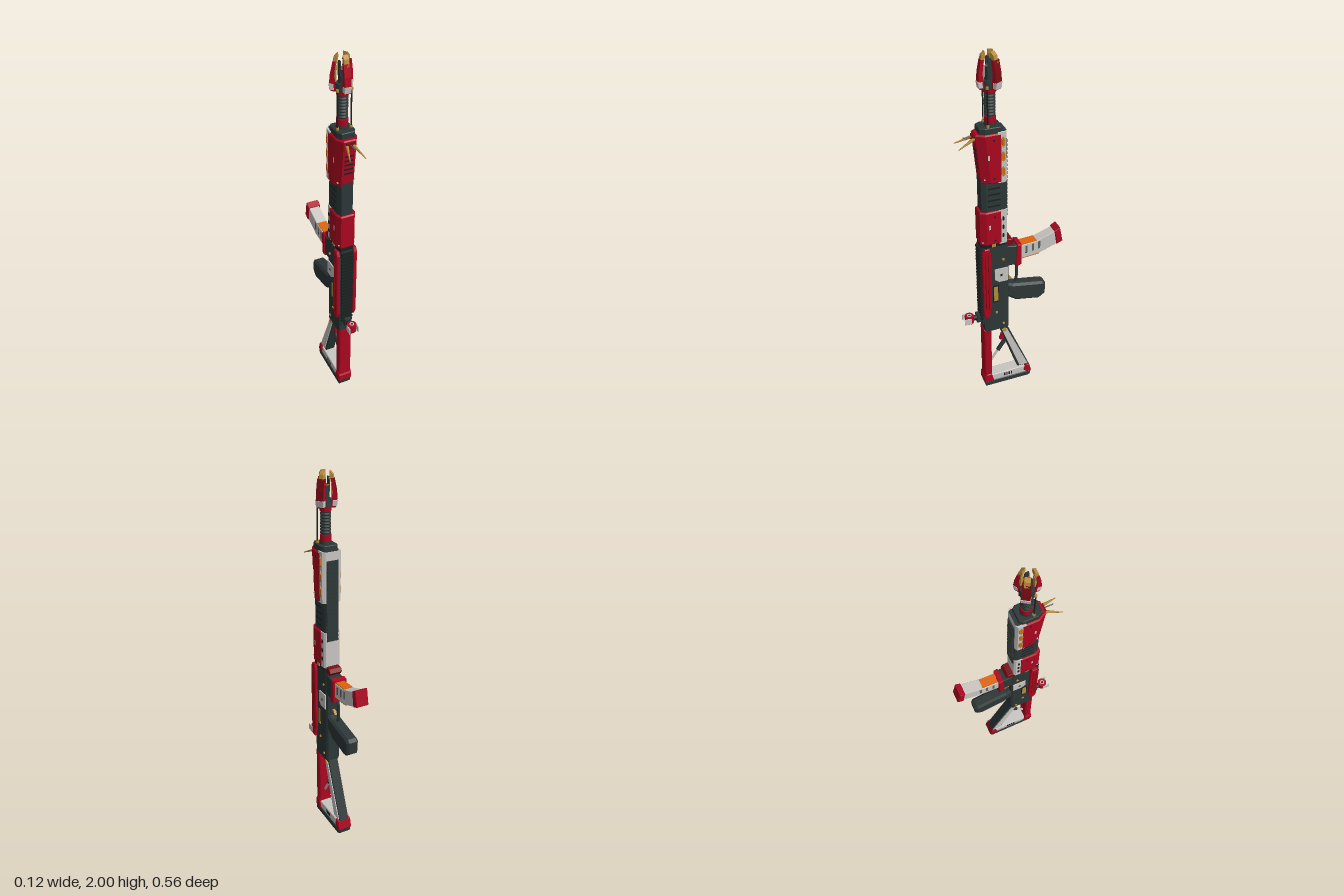
import * as THREE from 'three';

const mat = (name, color) => Object.assign(new THREE.MeshStandardMaterial({ color }), { name });
const red = mat('red', 0xac0620), darkRed = mat('dark red', 0x7a0c14), dark = mat('gunmetal', 0x2d3737),
  black = mat('black', 0x1a2020), white = mat('pale grey', 0xc9c6c2), gold = mat('gold', 0xb98d3c),
  orange = mat('orange', 0xe0640c), steel = mat('steel', 0x5c6262);
const BZ = 0.105; // barrel axis

export function createModel() {
  const root = new THREE.Group();
  root.name = 'rifle';
  const add = (name, geo, m, parent = root) => {
    const mesh = new THREE.Mesh(geo, m);
    mesh.name = name;
    parent.add(mesh);
    return mesh;
  };
  // box given by its limits
  const box = (name, m, x0, x1, y0, y1, z0, z1, p) => add(name,
    new THREE.BoxGeometry(x1 - x0, y1 - y0, z1 - z0).translate((x0 + x1) / 2, (y0 + y1) / 2, (z0 + z1) / 2), m, p);
  const extrude = (pts, depth, bevel) => new THREE.ExtrudeGeometry(
    new THREE.Shape(pts.map(p => new THREE.Vector2(...p))), {
      depth: depth - 2 * bevel, bevelEnabled: bevel > 0, bevelThickness: bevel, bevelSize: bevel,
      bevelOffset: -bevel, bevelSegments: 1 }).translate(0, 0, bevel);
  // side profile of [z, y] points, spread to half width w in x
  const side = (name, m, pts, w, bevel = 0, p = root, cx = 0) =>
    add(name, extrude(pts, 2 * w, bevel).translate(0, 0, -w).rotateY(-Math.PI / 2).translate(cx, 0, 0), m, p);
  // cross-section of half outline [x, z], mirrored, raised from y0 to y1
  const prism = (name, m, half, y0, y1, bevel = 0) => {
    const pts = [...half, ...half.slice().reverse().map(([x, z]) => [-x, z])].map(([x, z]) => [x, -z]);
    return add(name, extrude(pts, y1 - y0, bevel).rotateX(-Math.PI / 2).translate(0, y0, 0), m);
  };
  const tube = (name, m, a, b, r, r2 = r, n = 10) => {
    const A = new THREE.Vector3(...a), B = new THREE.Vector3(...b), d = B.clone().sub(A);
    const mesh = add(name, new THREE.CylinderGeometry(r2, r, d.length(), n), m);
    mesh.position.copy(A).add(B).multiplyScalar(0.5);
    mesh.quaternion.setFromUnitVectors(new THREE.Vector3(0, 1, 0), d.normalize());
  };
  // round stud on a side face
  const stud = (name, m, x, y, z, r) =>
    add(name, new THREE.CylinderGeometry(r, r, 0.006, 10).rotateZ(Math.PI / 2), m).position.set(x, y, z);
  // pointed oval plate on a side face
  const oval = (name, m, x, y, z, h, w, t) => side(name, m,
    [[z + w, y - h * 0.6], [z + w, y + h * 0.6], [z, y + h], [z - w, y + h * 0.6], [z - w, y - h * 0.6], [z, y - h]], t, 0, root, x);
  const both = f => [-1, 1].forEach(f);

  // Butt plate
  side('buttPad', dark, [[0.17, 0], [0.175, 0.035], [-0.11, 0.035], [-0.105, 0.005], [-0.09, 0]], 0.038, 0.004);
  side('buttFrame', white, [[0.13, 0.03], [0.13, 0.075], [-0.085, 0.08], [-0.1, 0.03]], 0.034, 0.003);
  side('buttFrontCap', red, [[0.178, 0.03], [0.178, 0.07], [0.165, 0.09], [0.135, 0.09], [0.12, 0.03]], 0.04, 0.005);
  side('buttRearCap', red, [[-0.065, 0.05], [-0.075, 0.095], [-0.1, 0.085], [-0.113, 0.035], [-0.085, 0.03]], 0.04, 0.004);
  both(s => [0, 1, 2, 3].forEach(i => {
    const z = 0.008 + i * 0.014;
    box('buttVent', black, s * 0.0345 - 0.002, s * 0.0345 + 0.002, 0.046, 0.066, z, z + 0.007);
  }));

  // Stock tube, diagonal strut and damper
  side('stockTube', red, [[0.172, 0.08], [0.172, 0.43], [0.13, 0.43], [0.13, 0.08]], 0.036, 0.006);
  side('strut', dark, [[0.08, 0.425], [0.035, 0.425], [-0.1, 0.085], [-0.03, 0.085]], 0.028, 0.003);
  both(s => {
    side('strutPlate', white, [[0.068, 0.405], [0.038, 0.405], [-0.09, 0.095], [-0.04, 0.095]], 0.003, 0, root, s * 0.03);
    stud('strutBolt', gold, s * 0.033, 0.4, 0.053, 0.012);
  });
  tube('damperRod', white, [0, 0.14, 0.14], [0, 0.24, 0.075], 0.007);
  tube('damperBody', dark, [0, 0.23, 0.082], [0, 0.31, 0.03], 0.012);
  tube('damperCollar', red, [0, 0.31, 0.062], [0, 0.345, 0.05], 0.014);

  // Receiver
  prism('receiver', dark, [[0.032, 0.028], [0.04, 0.04], [0.042, 0.14], [0.034, 0.168]], 0.42, 1.0, 0.004);
  prism('receiverCollar', black, [[0.04, 0.04], [0.044, 0.15], [0.034, 0.175]], 0.985, 1.005);
  both(s => {
    side('receiverRail', red, [[0.178, 0.56], [0.178, 0.96], [0.165, 0.985], [0.138, 0.985], [0.13, 0.95],
      [0.13, 0.6], [0.145, 0.53], [0.165, 0.53]], 0.01, 0.004, root, s * 0.047);
    [0.144, 0.16].forEach(z =>
      box('railGroove', darkRed, s * 0.057 - 0.0015, s * 0.057 + 0.0015, 0.59, 0.95, z, z + 0.005));
    side('receiverPanel', white, [[0.108, 0.775], [0.108, 0.84], [0.036, 0.84], [0.036, 0.755], [0.085, 0.755]], 0.003, 0, root, s * 0.043);
    box('panelMark', black, s * 0.0465 - 0.001, s * 0.0465 + 0.001, 0.792, 0.806, 0.068, 0.077);
    box('latchFrame', black, s * 0.042 - 0.003, s * 0.042 + 0.003, 0.622, 0.735, 0.087, 0.12);
    box('goldLatch', gold, s * 0.044 - 0.003, s * 0.044 + 0.003, 0.632, 0.727, 0.092, 0.115);
    box('goldClip', gold, s * 0.044 - 0.003, s * 0.044 + 0.003, 0.988, 1.012, 0.1, 0.122);
    [[0.46, 0.06], [0.895, 0.06], [0.55, 0.1]].forEach(([y, z]) => stud('pin', gold, s * 0.043, y, z, 0.007));
  });

  // Toothed sight rail
  box('sightRailBase', dark, -0.028, 0.028, 0.47, 0.985, 0.16, 0.176);
  for (let i = 0; i < 22; i++) box('sightRailTooth', black, -0.032, 0.032, 0.51 + i * 0.0215, 0.522 + i * 0.0215, 0.172, 0.187);

  // Rear sight
  box('sightMount', dark, -0.018, 0.018, 0.485, 0.535, 0.17, 0.205);
  tube('sightStem', black, [0, 0.51, 0.2], [0, 0.51, 0.222], 0.015);
  const ring = new THREE.Shape().absarc(0, 0, 0.025, 0, Math.PI * 2);
  ring.holes.push(new THREE.Path().absarc(0, 0, 0.009, 0, Math.PI * 2));
  add('sightBody', new THREE.ExtrudeGeometry(ring, { depth: 0.044, bevelEnabled: false, curveSegments: 10 })
    .rotateX(-Math.PI / 2), red).position.set(0, 0.49, 0.245);
  add('sightRing', new THREE.TorusGeometry(0.01, 0.003, 6, 14).rotateX(Math.PI / 2), white).position.set(0, 0.535, 0.245);
  both(s => box('sightEar', white, s * 0.025 - 0.003, s * 0.025 + 0.003, 0.495, 0.53, 0.24, 0.278));

  // Grip, trigger and guard
  side('grip', dark, [[0.04, 0.72], [0.0, 0.705], [-0.175, 0.675], [-0.192, 0.66], [-0.19, 0.59], [-0.155, 0.565],
    [-0.02, 0.59], [0.04, 0.635]], 0.034, 0.012);
  const guard = new THREE.CatmullRomCurve3([[0.04, 0.825], [-0.018, 0.822], [-0.03, 0.8], [-0.029, 0.73], [-0.02, 0.695]]
    .map(([z, y]) => new THREE.Vector3(0, y, z)), false, 'catmullrom', 0.2);
  add('triggerGuard', new THREE.TubeGeometry(guard, 20, 0.008, 6), dark);
  side('trigger', gold, [[0.035, 0.75], [0.012, 0.748], [-0.002, 0.728], [0.004, 0.725], [0.016, 0.736], [0.035, 0.733]], 0.007);

  // Magazine and its well
  side('magazineWell', dark, [[0.04, 0.84], [0.04, 0.965], [-0.02, 0.955], [-0.02, 0.84]], 0.036, 0.004);
  side('magazineBand', red, [[-0.012, 0.83], [-0.02, 0.965], [-0.045, 0.96], [-0.045, 0.835], [-0.03, 0.828]], 0.04, 0.004);
  side('magazine', white, [[-0.04, 0.865], [-0.04, 0.947], [-0.13, 0.953], [-0.245, 0.995], [-0.255, 0.915], [-0.15, 0.875]], 0.029, 0.002);
  side('magazineCap', red, [[-0.232, 0.995], [-0.262, 1.012], [-0.28, 0.925], [-0.246, 0.91]], 0.035, 0.004);
  side('roundsWindowFront', orange, [[-0.046, 0.947], [-0.046, 0.952], [-0.133, 0.958], [-0.133, 0.95]], 0.025);
  side('roundsWindowRear', orange, [[-0.046, 0.868], [-0.15, 0.878], [-0.15, 0.869], [-0.046, 0.86]], 0.025);
  both(s => [-0.068, -0.105, -0.14].forEach((z, i) => {
    const y = 0.893 + i * 0.006;
    side('magazineSlot', steel, [[z, y], [z, y + 0.044], [z - 0.012, y + 0.046], [z - 0.012, y + 0.003]], 0.002, 0, root, s * 0.0295);
  }));
  side('magazineRelease', darkRed, [[0.045, 0.965], [0.04, 1.008], [0.008, 1.005], [-0.004, 0.985], [0.01, 0.968]], 0.036, 0.003);

  // Handguard core and pale spine
  prism('handguardCore', dark, [[0.036, 0.038], [0.042, 0.05], [0.042, 0.145], [0.03, 0.168]], 1.0, 1.63);
  for (let i = 0; i < 4; i++) prism('coreRib', black, [[0.03, 0.06], [0.0435, 0.075], [0.0435, 0.135], [0.03, 0.15]], 1.225 + i * 0.033, 1.233 + i * 0.033);
  prism('spineLower', white, [[0.038, 0.037], [0.046, 0.046], [0.047, 0.08]], 1.0, 1.2);
  prism('spineUpper', white, [[0.038, 0.037], [0.052, 0.046], [0.054, 0.085]], 1.36, 1.625);
  both(s => {
    [1.05, 1.1, 1.15].forEach(y => oval('spineSlot', black, s * 0.0467, y, 0.06, 0.014, 0.005, 0.002));
    [1.42, 1.5, 1.575].forEach(y => {
      oval('spineInset', gold, s * 0.0535, y, 0.06, 0.028, 0.01, 0.003);
      oval('spineInsetCore', orange, s * 0.0545, y, 0.06, 0.02, 0.006, 0.003);
    });
  });
  box('rearRailBase', dark, -0.032, 0.032, 1.15, 1.58, 0.034, 0.042);
  for (let i = 0; i < 20; i++) box('rearRailTooth', dark, -0.03, 0.03, 1.153 + i * 0.0214, 1.165 + i * 0.0214, 0.03, 0.039);

  // Red handguard shells, the upper one leaning forward toward the top
  prism('lowerShell', red, [[0.05, 0.072], [0.052, 0.15], [0.036, 0.18]], 1.005, 1.2, 0.006);
  const upper = prism('upperShell', red, [[0.054, 0.07], [0.055, 0.148], [0.032, 0.19]], 1.36, 1.62, 0.006);
  const lean = y => 0.024 * (1.62 - y) / 0.26;
  const pos = upper.geometry.attributes.position;
  for (let i = 0; i < pos.count; i++)
    if (pos.getZ(i) > 0.12) pos.setZ(i, pos.getZ(i) - lean(pos.getY(i)));
  upper.geometry.computeVertexNormals();
  for (let i = 0; i < 5; i++) {
    const y = 1.435 + i * 0.024, z = 0.19 - lean(y);
    box('shellVent', black, -0.022, 0.022, y, y + 0.008, z - 0.004, z + 0.002);
  }
  both(s => {
    [[1.1, 0.0515], [1.49, 0.0548]].forEach(([y, x]) =>
      box('shellMark', white, s * x - 0.0015, s * x + 0.0015, y, y + 0.025, 0.128, 0.137));
    [1.03, 1.17, 1.39, 1.59].forEach(y => stud('shellScrew', black, s * (y < 1.3 ? 0.05 : 0.053), y, 0.105, 0.005));
    [[1.025, 0.165], [1.385, 0.148]].forEach(([y, z]) =>
      box('frontScrew', white, s * 0.043 - 0.003, s * 0.043 + 0.003, y - 0.003, y + 0.003, z, z + 0.007));
    // Splayed front antennae
    tube('antenna', gold, [s * 0.014, 1.597, 0.185], [s * 0.039, 1.562, 0.272], 0.009, 0.002, 6);
  });
  box('antennaMount', darkRed, -0.02, 0.02, 1.58, 1.61, 0.18, 0.197);
  tube('antennaPin', steel, [0, 1.6, 0.19], [0, 1.6, 0.24], 0.003);

  // Barrel
  prism('barrelBlock', dark, [[0.034, 0.055], [0.046, 0.07], [0.046, 0.145], [0.032, 0.17]], 1.615, 1.65, 0.003);
  const ribs = [[0, 1.64], [0.03, 1.64], [0.03, 1.655]];
  for (let i = 0; i < 8; i++) {
    const y = 1.7 + i * 0.015;
    ribs.push([0.02, y], [0.027, y + 0.002], [0.027, y + 0.009], [0.02, y + 0.011]);
  }
  ribs.push([0.02, 1.93], [0.013, 1.935], [0.011, 1.92], [0, 1.92]);
  add('barrel', new THREE.LatheGeometry(ribs.map(p => new THREE.Vector2(...p)), 14), dark).position.z = BZ;
  tube('barrelCollar', red, [0, 1.662, BZ], [0, 1.695, BZ], 0.028, 0.028, 14);
  tube('muzzleCollar', red, [0, 1.812, BZ], [0, 1.832, BZ], 0.03, 0.03, 14);
  tube('muzzleBase', dark, [0, 1.83, BZ], [0, 1.868, BZ], 0.04, 0.034, 6);
  add('muzzleGlow', new THREE.TorusGeometry(0.016, 0.003, 6, 18).rotateX(Math.PI / 2), orange).position.set(0, 1.932, BZ);
  both(s => {
    side('muzzleBlade', dark, [[0.095, 1.9], [0.095, 1.955], [0.101, 1.97], [0.115, 1.97], [0.119, 1.9]], 0.003, 0, root, s * 0.017);
    tube('gasRod', black, [s * 0.034, 1.64, 0.127], [s * 0.034, 1.84, 0.127], 0.0035, 0.0035, 6);
    [1.65, 1.835].forEach(y => tube('gasRodNut', gold, [s * 0.034, y, 0.127], [s * 0.034, y + 0.012, 0.127], 0.007, 0.007, 6));
  });

  // Three muzzle claws round the barrel axis, the rear pair broader with dark backs
  [0, 2.15, -2.15].forEach(a => {
    const claw = new THREE.Group();
    claw.name = 'muzzleClaw';
    claw.position.z = BZ;
    claw.rotation.y = a;
    root.add(claw);
    const w = a ? 0.02 : 0.016;
    side('clawBody', a ? [red, darkRed] : red, [[0.028, 1.83], [0.05, 1.83], [0.057, 1.865], [0.053, 1.91],
      [0.042, 1.965], [0.028, 1.965], [0.036, 1.9], [0.03, 1.865]], w, 0, claw);
    side('clawTip', gold, [[0.045, 1.95], [0.038, 1.985], [0.022, 2.0], [0.02, 1.98], [0.026, 1.95]], 0.013, 0.002, claw);
    side('clawFoot', white, [[0.034, 1.835], [0.055, 1.835], [0.06, 1.866], [0.036, 1.866]], w + 0.001, 0.002, claw);
    box('clawInlay', gold, -0.01, 0.01, 1.87, 1.94, 0.027, 0.035, claw);
  });
  return root;
}
